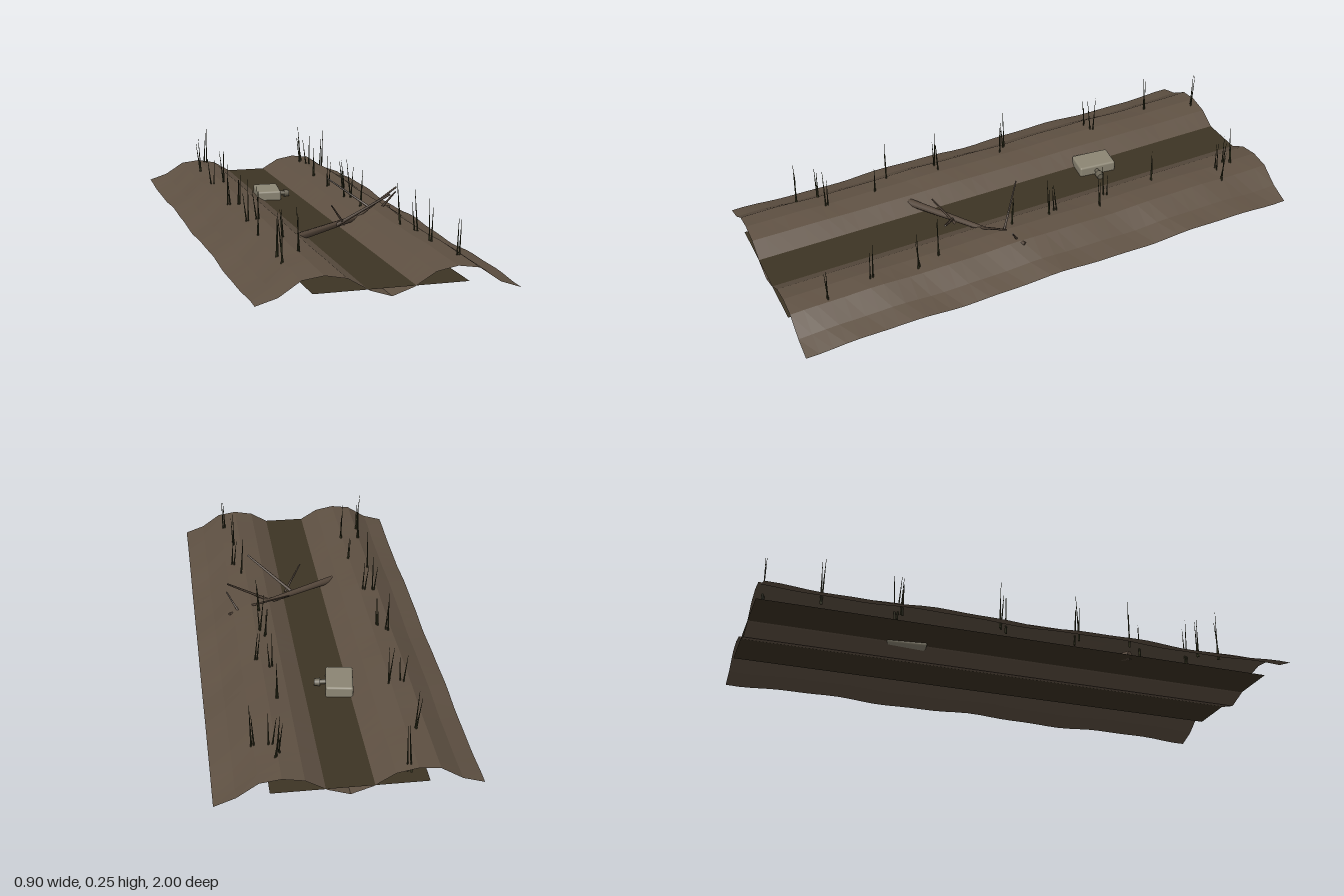
import * as THREE from 'three';
import { RoundedBoxGeometry } from 'three/addons/geometries/RoundedBoxGeometry.js';

const V = (x, y, z) => new THREE.Vector3(x, y, z);
const material = (color, extra = {}) => new THREE.MeshStandardMaterial({ color, ...extra });

function mesh(name, geometry, mat, parent) {
  const m = new THREE.Mesh(geometry, mat);
  m.name = name;
  parent.add(m);
  return m;
}

// Tapered rod running from point a to point b
function rod(name, a, b, ra, rb, sides, mat, parent) {
  const dir = b.clone().sub(a);
  const m = mesh(name, new THREE.CylinderGeometry(rb, ra, dir.length(), sides), mat, parent);
  m.position.copy(a).add(b).multiplyScalar(0.5);
  m.quaternion.setFromUnitVectors(V(0, 1, 0), dir.normalize());
  return m;
}

function seeded(seed) {
  return () => {
    seed = (seed * 16807) % 2147483647;
    return seed / 2147483647;
  };
}

export function createModel() {
  const group = new THREE.Group();
  group.name = 'ditch';

  const earth = material(0x5f5143, { side: THREE.DoubleSide, flatShading: true });
  const water = material(0x3d3424, { side: THREE.DoubleSide });
  const wood = material(0x54463a);
  const reedMat = material(0x34341f);
  const canMat = material(0x8c8674);
  const capMat = material(0x6a6455);

  // Earth banks: cross-section from the ditch floor out to the outer foot
  const profile = [0.012, 0.037, 0.082, 0.096, 0.086, 0.036, 0.011];
  const ground = new THREE.PlaneGeometry(0.9, 2, 12, 40).rotateX(-Math.PI / 2);
  const p = ground.attributes.position;
  for (let i = 0; i < p.count; i++) {
    const x = p.getX(i), z = p.getZ(i);
    const step = Math.round(Math.abs(x) / 0.075);
    const wave = Math.sin(z * 9.5 + x * 3) * 0.005 + Math.sin(z * 23 + x * 17) * 0.002;
    p.setY(i, profile[step] + wave * Math.max(0, step - 1) / 5);
  }
  ground.computeVertexNormals();
  mesh('earthBanks', ground, earth, group);

  // Water sheet passing through the banks
  mesh('water', new THREE.PlaneGeometry(0.53, 2).rotateX(-Math.PI / 2), water, group).position.y = 0.041;

  // Fallen branch lying across the ditch, partly buried
  const branch = new THREE.Group();
  branch.name = 'fallenBranch';
  group.add(branch);
  rod('trunk', V(-0.235, 0.055, 0.432), V(0.315, 0.083, 0.092), 0.017, 0.007, 8, wood, branch);
  [
    [V(0.04, 0.065, 0.265), V(0.217, 0.197, 0.37), 0.007],
    [V(0.075, 0.07, 0.27), V(0.005, 0.16, 0.333), 0.005],
    [V(0.14, 0.072, 0.2), V(0.316, 0.178, 0.17), 0.006],
    [V(0.235, 0.085, 0.145), V(0.085, 0.195, 0.016), 0.005],
    [V(0.275, 0.08, 0.105), V(0.322, 0.155, 0.147), 0.005],
  ].forEach(([a, b, r]) => rod('twig', a, b, r, r * 0.55, 6, wood, branch));

  // Discarded can with neck and cap lying in the water
  const can = new THREE.Group();
  can.name = 'discardedCan';
  can.position.set(-0.05, 0.056, -0.405);
  can.rotation.set(0.02, -0.13, 0.02);
  group.add(can);
  mesh('canBody', new RoundedBoxGeometry(0.1, 0.046, 0.15, 2, 0.008), canMat, can);
  rod('canNeck', V(0.045, 0, 0.005), V(0.075, -0.003, 0.005), 0.009, 0.009, 10, capMat, can);
  rod('canCap', V(0.07, -0.003, 0.005), V(0.092, -0.004, 0.005), 0.016, 0.013, 10, capMat, can);

  // Reeds rooted along both banks, as [x, z]
  const rand = seeded(41);
  const reeds = new THREE.Group();
  reeds.name = 'reeds';
  group.add(reeds);
  [
    [-0.2, -0.97], [-0.26, -0.77], [-0.265, -0.48], [-0.215, -0.49], [-0.28, -0.11], [-0.25, -0.08],
    [-0.275, 0.2], [-0.235, 0.2], [-0.295, 0.41], [-0.22, 0.48], [-0.215, 0.68], [-0.295, 0.69], [-0.3, 0.78],
    [0.235, -0.88], [0.22, -0.85], [0.245, -0.8], [0.3, -0.79], [0.19, -0.53], [0.245, -0.27], [0.19, -0.32],
    [0.195, -0.1], [0.21, -0.07], [0.2, 0.09], [0.245, 0.41], [0.275, 0.5], [0.26, 0.68], [0.285, 0.85],
  ].forEach(([x, z]) => {
    for (let k = 0; k < 2; k++) {
      const bx = x + (rand() - 0.5) * 0.012, bz = z + (rand() - 0.5) * 0.012;
      const tip = V(bx - 0.006 + (rand() - 0.5) * 0.034, 0.19 + rand() * 0.065, bz + (rand() - 0.5) * 0.02);
      rod('reed', V(bx, 0.06, bz), tip, 0.0038, 0.0006, 4, reedMat, reeds);
    }
  });

  return group;
}
